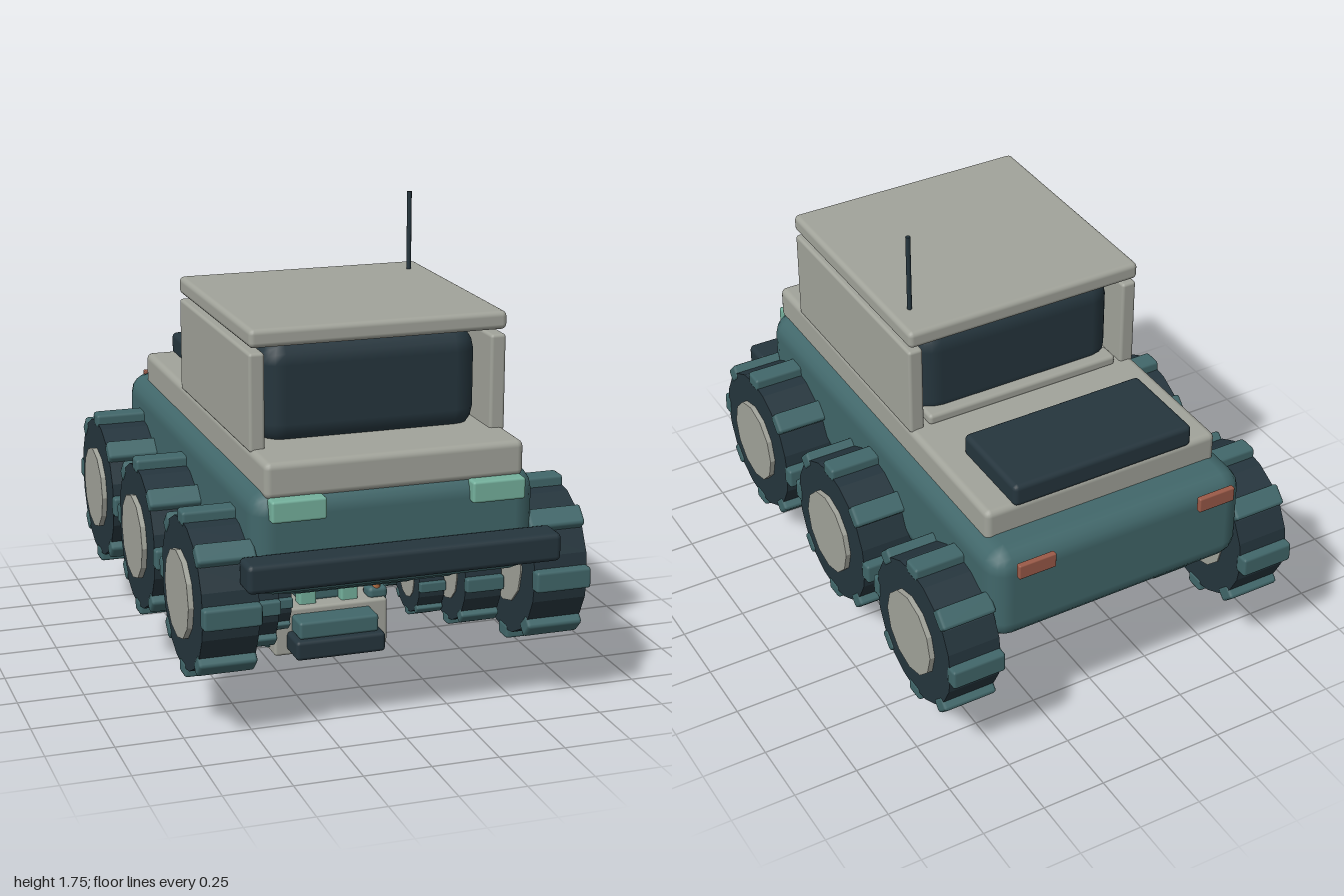
import * as THREE from 'three';
import { RoundedBoxGeometry } from 'three/addons/geometries/RoundedBoxGeometry.js';

const mat = (color, flatShading = false) => new THREE.MeshStandardMaterial({ color, flatShading });
const teal = mat(0x41676a), dark = mat(0x25353d), cream = mat(0xa1a39a);
const green = mat(0x74b09c), red = mat(0x9a5a48), orange = mat(0xa8683f), purple = mat(0x5a4a68);
const tyreMat = mat(0x25353d, true), hubMat = mat(0xa1a39a, true);

// rounded box given by its min/max on each axis
function block(parent, name, material, [x0, x1], [y0, y1], [z0, z1], r = 0.015, seg = 2) {
  const m = new THREE.Mesh(new RoundedBoxGeometry(x1 - x0, y1 - y0, z1 - z0, seg, r), material);
  m.name = name;
  m.position.set((x0 + x1) / 2, (y0 + y1) / 2, (z0 + z1) / 2);
  parent.add(m);
  return m;
}

function part(parent, name, geometry, material, x, y, z) {
  const m = new THREE.Mesh(geometry, material);
  m.name = name;
  m.position.set(x, y, z);
  parent.add(m);
  return m;
}

// wheel with its axle along x, hub on the outer side
function wheel(side) {
  const g = new THREE.Group();
  g.name = 'wheel';
  const tyre = new THREE.CylinderGeometry(0.278, 0.278, 0.205, 20).rotateZ(Math.PI / 2);
  part(g, 'tyre', tyre, tyreMat, 0, 0, 0);
  const hub = new THREE.CylinderGeometry(0.163, 0.163, 0.23, 12).rotateZ(Math.PI / 2);
  part(g, 'hub', hub, hubMat, side * 0.007, 0, 0);
  for (let i = 0; i < 8; i++) {
    const a = (i * Math.PI) / 4;
    const t = part(g, 'treadBlock', new RoundedBoxGeometry(0.213, 0.055, 0.08, 1, 0.012), teal,
      0, Math.cos(a) * 0.282, Math.sin(a) * 0.282);
    t.rotation.x = a;
  }
  return g;
}

// lower body, bumper and six wheels
function chassis() {
  const g = new THREE.Group();
  g.name = 'chassis';
  block(g, 'body', teal, [-0.53, 0.53], [0.53, 0.92], [-0.94, 0.89], 0.085, 2);
  block(g, 'frontBumper', dark, [-0.58, 0.58], [0.6, 0.705], [0.88, 1], 0.02);
  for (const side of [-1, 1]) for (const z of [0.64, -0.025, -0.685]) {
    const w = wheel(side);
    w.position.set(side * 0.617, 0.505, z);
    g.add(w);
  }
  return g;
}

// square unit hung beneath the vehicle
function undersideUnit() {
  const g = new THREE.Group();
  g.name = 'undersideUnit';
  block(g, 'unitCase', cream, [-0.23, 0.23], [0.02, 0.21], [-0.21, 0.16], 0.012);
  block(g, 'unitSidePanels', teal, [-0.25, 0.25], [0.035, 0.2], [-0.15, 0.1], 0.012);
  block(g, 'unitEndPanels', teal, [-0.16, 0.16], [0.115, 0.185], [-0.3, 0.26], 0.012);
  block(g, 'unitEndPads', dark, [-0.18, 0.18], [0.04, 0.118], [-0.335, 0.285], 0.015);
  block(g, 'unitNeck', teal, [-0.11, 0.11], [0.2, 0.34], [-0.14, 0.09], 0.02);
  part(g, 'pivotBall', new THREE.SphereGeometry(0.11, 20, 14), dark, 0, 0.4, -0.025);
  for (const s of [-1, 1]) {
    const x = s * 0.085;
    block(g, 'connector', green, [x - 0.035, x + 0.035], [0.2, 0.285], [0.07, 0.13], 0.01);
    // cables curving from the pivot down to the case
    [[orange, 0.12], [purple, 0.05], [green, -0.08], [orange, -0.17]].forEach(([m, z], i) => {
      const path = new THREE.CatmullRomCurve3([
        new THREE.Vector3(s * 0.1, 0.4, z * 0.6),
        new THREE.Vector3(s * (0.17 + i * 0.01), 0.34, z),
        new THREE.Vector3(s * 0.2, 0.27, z),
        new THREE.Vector3(s * 0.18, 0.2, z)]);
      part(g, 'cable', new THREE.TubeGeometry(path, 14, 0.016, 8), m, 0, 0, 0);
    });
    for (const z of [-0.15, 0.1]) block(g, 'clamp', teal, s > 0 ? [0.16, 0.24] : [-0.24, -0.16],
      [0.2, 0.25], [z - 0.04, z + 0.04], 0.018);
  }
  // studs on the bottom
  for (const [x, z] of [[-0.06, 0], [0, 0.04], [0.06, 0], [0, -0.06], [-0.03, -0.02], [0.04, -0.05]])
    part(g, 'stud', new THREE.CylinderGeometry(0.011, 0.011, 0.03, 8), teal, x, 0.015, z);
  return g;
}

export function createModel() {
  const root = new THREE.Group();
  root.name = 'sixWheeledRover';

  // chassis, with smaller ones stacked beneath it on the same ground line
  for (const s of [1, 0.7, 0.49]) {
    const c = chassis();
    c.scale.setScalar(s);
    c.position.y = 0.2 * (1 - s);
    root.add(c);
  }
  root.add(undersideUnit());

  // upper deck and cab
  block(root, 'deck', cream, [-0.48, 0.48], [0.89, 1.023], [-0.8, 0.875], 0.025);
  block(root, 'cabGlass', dark, [-0.41, 0.41], [0.99, 1.385], [-0.2, 0.62], 0.09, 2);
  block(root, 'roof', cream, [-0.48, 0.48], [1.385, 1.453], [-0.25, 0.7], 0.02);
  block(root, 'rearSill', cream, [-0.4, 0.4], [1.015, 1.06], [-0.24, -0.16], 0.015);
  block(root, 'rearPack', dark, [-0.37, 0.37], [1.01, 1.1], [-0.805, -0.437], 0.02);

  for (const s of [-1, 1]) {
    const span = (a, b) => (s > 0 ? [a, b] : [-b, -a]);
    block(root, 'cabWall', cream, span(0.422, 0.48), [1.01, 1.367], [-0.24, 0.69], 0.012);
    block(root, 'headlight', green, span(0.27, 0.47), [0.82, 0.9], [0.86, 0.92], 0.01);
    block(root, 'tailLight', red, span(0.3, 0.45), [0.845, 0.905], [-0.978, -0.955], 0.006);
  }

  part(root, 'antenna', new THREE.CylinderGeometry(0.009, 0.009, 0.425, 10), dark, 0.4, 1.5425, -0.1);
  return root;
}
